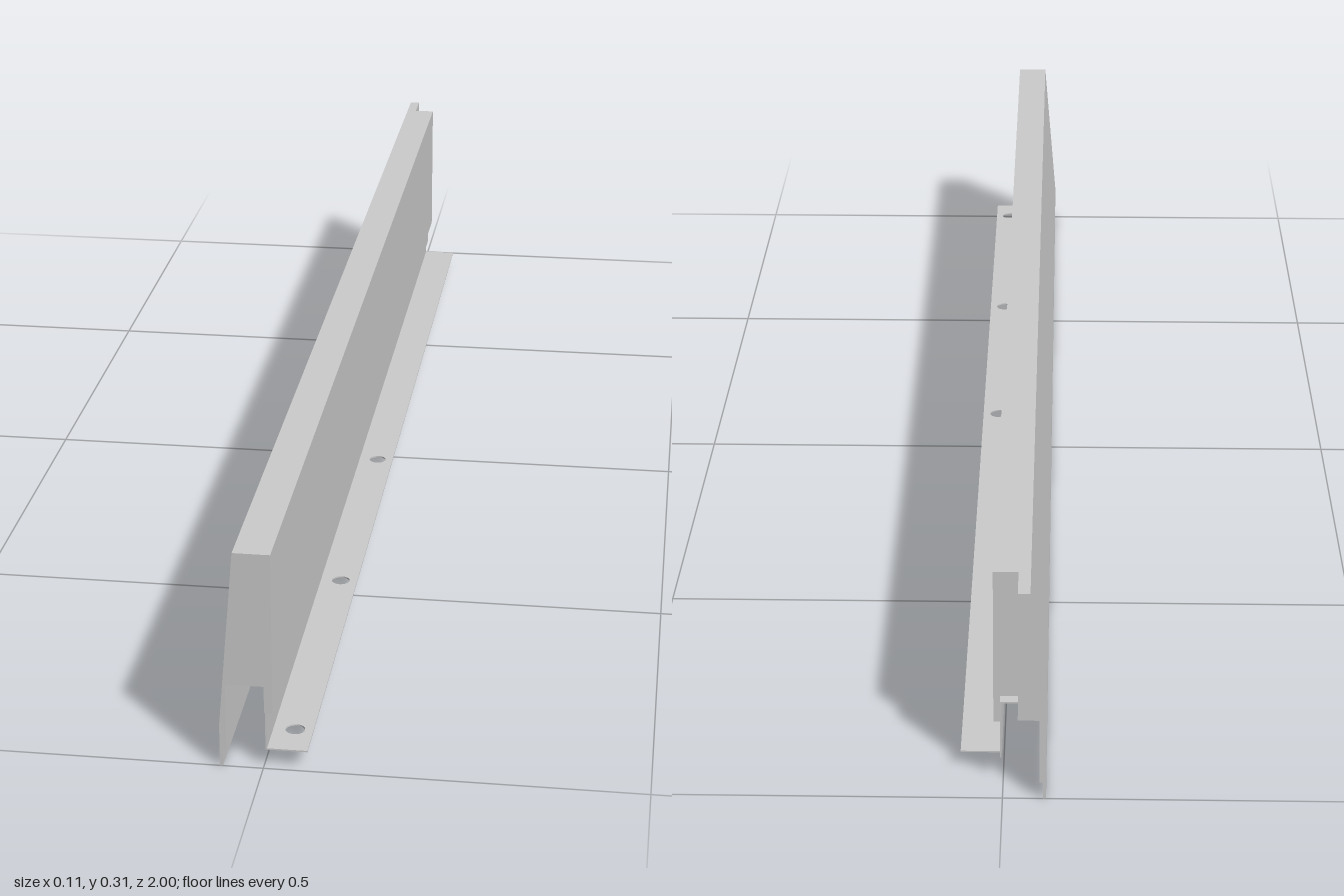
import * as THREE from 'three';

export function createModel() {
  const group = new THREE.Group();
  const material = new THREE.MeshStandardMaterial({ color: 0xcccccc, flatShading: true });

  const add = (name, geometry) => {
    const mesh = new THREE.Mesh(geometry, material);
    mesh.name = name;
    group.add(mesh);
  };
  const outline = (points) => new THREE.Shape(points.map(([x, y]) => new THREE.Vector2(x, y)));
  const extrude = (shape, depth) =>
    new THREE.ExtrudeGeometry(shape, { depth, bevelEnabled: false, curveSegments: 10 });

  const shoulder = -0.945; // where the wide body ends at the rear
  const channelTop = 0.12;

  // Sloping outer face with its thin lower lip, shared by both body sections
  const outerFace = [
    [-0.036, 0.308], [-0.057, 0.06], [-0.057, 0], [-0.053, 0],
    [-0.053, 0.025], [-0.048, 0.025], [-0.048, channelTop],
  ];

  // Long body over an open channel
  const body = outline([
    ...outerFace,
    [0.002, channelTop], [0.002, 0.082], [0.013, 0.082], [0.013, 0.308],
  ]);
  add('body', extrude(body, 1 - shoulder).translate(0, 0, shoulder));

  // Narrow tongue at the rear end
  const tongue = outline([...outerFace, [-0.02, channelTop], [-0.02, 0.308]]);
  add('rearTongue', extrude(tongue, 1 + shoulder).translate(0, 0, -1));

  // Thin web standing on the flange, stepped at its rear end (drawn in z, y)
  const web = outline([
    [0.993, 0.024], [0.993, 0.084], [shoulder, 0.084], [shoulder, channelTop],
    [-0.96, channelTop], [-0.96, 0.036], [-0.93, 0.036], [-0.93, 0.024],
  ]);
  add('web', extrude(web, 0.002).rotateY(-Math.PI / 2).translate(0.004, 0, 0));

  // Short end of the channel roof past the shoulder
  add('channelRoofEnd', new THREE.BoxGeometry(0.024, 0.002, 0.015)
    .translate(-0.008, channelTop + 0.001, shoulder - 0.0075));

  // Mounting flange with three screw holes (drawn in x, -z)
  const flange = outline([[0.003, -0.993], [0.057, -0.993], [0.057, 0.93], [0.003, 0.93]]);
  for (const z of [0.07, 0.505, 0.94]) {
    flange.holes.push(new THREE.Path().absarc(0.033, -z, 0.013, 0, Math.PI * 2, true));
  }
  add('mountingFlange', extrude(flange, 0.002).rotateX(-Math.PI / 2).translate(0, 0.024, 0));

  return group;
}
